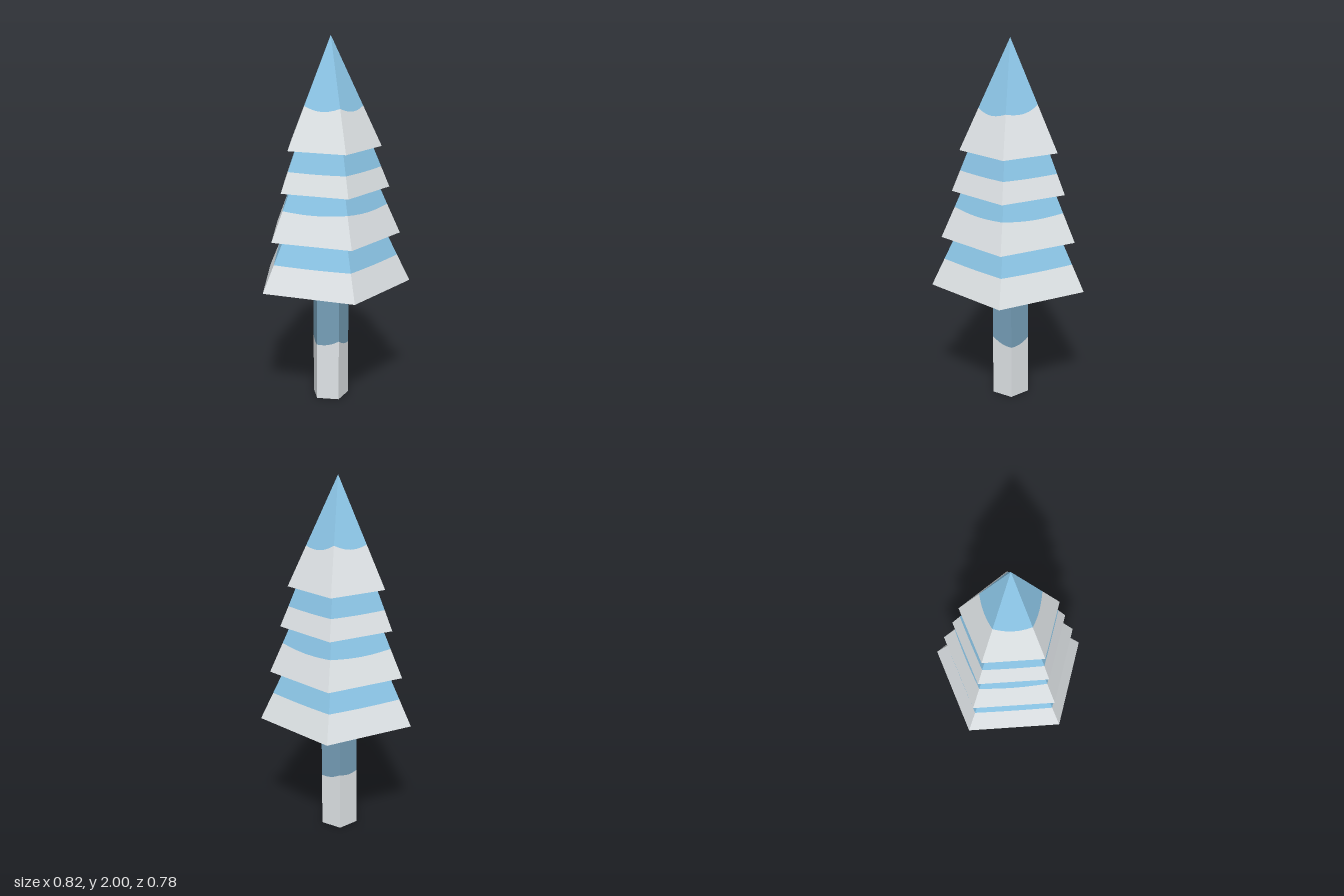
import * as THREE from 'three';

const rad = THREE.MathUtils.degToRad;
const SIDES = 5, STEPS = 6;

const flat = (name, color) => {
  const m = new THREE.MeshStandardMaterial({ color, side: THREE.DoubleSide, flatShading: true });
  m.name = name;
  return m;
};

// Five-sided band between two edge heights; edge(i, t) gives y along side i.
function band(start, radiusAt, lower, upper) {
  const pos = [];
  const point = (i, t, y) => {
    const a = rad(start + i * 72), b = rad(start + (i + 1) * 72), r = radiusAt(y);
    return [
      r * THREE.MathUtils.lerp(Math.cos(a), Math.cos(b), t), y,
      r * THREE.MathUtils.lerp(Math.sin(a), Math.sin(b), t),
    ];
  };
  for (let i = 0; i < SIDES; i++) {
    for (let s = 0; s < STEPS; s++) {
      const t0 = s / STEPS, t1 = (s + 1) / STEPS;
      const a = point(i, t0, lower(i, t0)), b = point(i, t1, lower(i, t1));
      const c = point(i, t1, upper(i, t1)), d = point(i, t0, upper(i, t0));
      pos.push(...a, ...d, ...c, ...a, ...c, ...b);
    }
  }
  const g = new THREE.BufferGeometry();
  g.setAttribute('position', new THREE.Float32BufferAttribute(pos, 3));
  g.computeVertexNormals();
  return g;
}

const level = (y) => () => y;

// Wavy edge through a height at each corner, sagging mid-side.
const wavy = (heights, dip) => (i, t) =>
  THREE.MathUtils.lerp(heights[i], heights[(i + 1) % SIDES], t) - dip * Math.sin(Math.PI * t);

export function createModel() {
  const white = flat('frostWhite', 0xe6ebee);
  const blue = flat('iceBlue', 0x8fcaec);
  const bark = flat('trunkBlue', 0x769fb8);

  const tree = new THREE.Group();
  tree.name = 'tree';
  const add = (parent, name, geometry, material) => {
    const m = new THREE.Mesh(geometry, material);
    m.name = name;
    parent.add(m);
  };

  // Foliage: open nested cones, each with a white hem
  const foliage = new THREE.Group();
  foliage.name = 'foliage';
  foliage.position.z = 0.04;
  tree.add(foliage);
  const tiers = [
    { y: 0.675, r: 0.433, apex: 1.568, hem: [0.82, 0.82, 0.82, 0.82, 0.82], dip: 0.003 },
    { y: 0.945, r: 0.376, apex: 1.785, hem: [1.1, 1.1, 1.105, 1.11, 1.105], dip: 0.012 },
    { y: 1.2, r: 0.315, apex: 1.96, hem: [1.31, 1.31, 1.31, 1.31, 1.31], dip: 0.003 },
    { y: 1.42, r: 0.271, apex: 2, hem: [1.65, 1.665, 1.635, 1.64, 1.645], dip: 0.022 },
  ];
  tiers.forEach(({ y, r, apex, hem, dip }, n) => {
    const radiusAt = (h) => r * (apex - h) / (apex - y);
    const edge = wavy(hem, dip);
    add(foliage, `tierHem${n + 1}`, band(-90, radiusAt, level(y), edge), white);
    add(foliage, `tierTop${n + 1}`, band(-90, radiusAt, edge, level(apex)), blue);
  });

  // Trunk: turned pentagonal post with a frosted foot
  const trunk = new THREE.Group();
  trunk.name = 'trunk';
  trunk.position.set(-0.003, 0, 0.041);
  tree.add(trunk);
  const R = 0.103, start = 43;
  const frost = wavy([0.305, 0.345, 0.32, 0.33, 0.335], 0.012);
  add(trunk, 'trunkFoot', band(start, level(R), level(0), frost), white);
  add(trunk, 'trunkUpper', band(start, level(R), frost, level(1)), bark);
  add(trunk, 'trunkBase', new THREE.CircleGeometry(R, SIDES, rad(start)).rotateX(Math.PI / 2), white);

  return tree;
}
